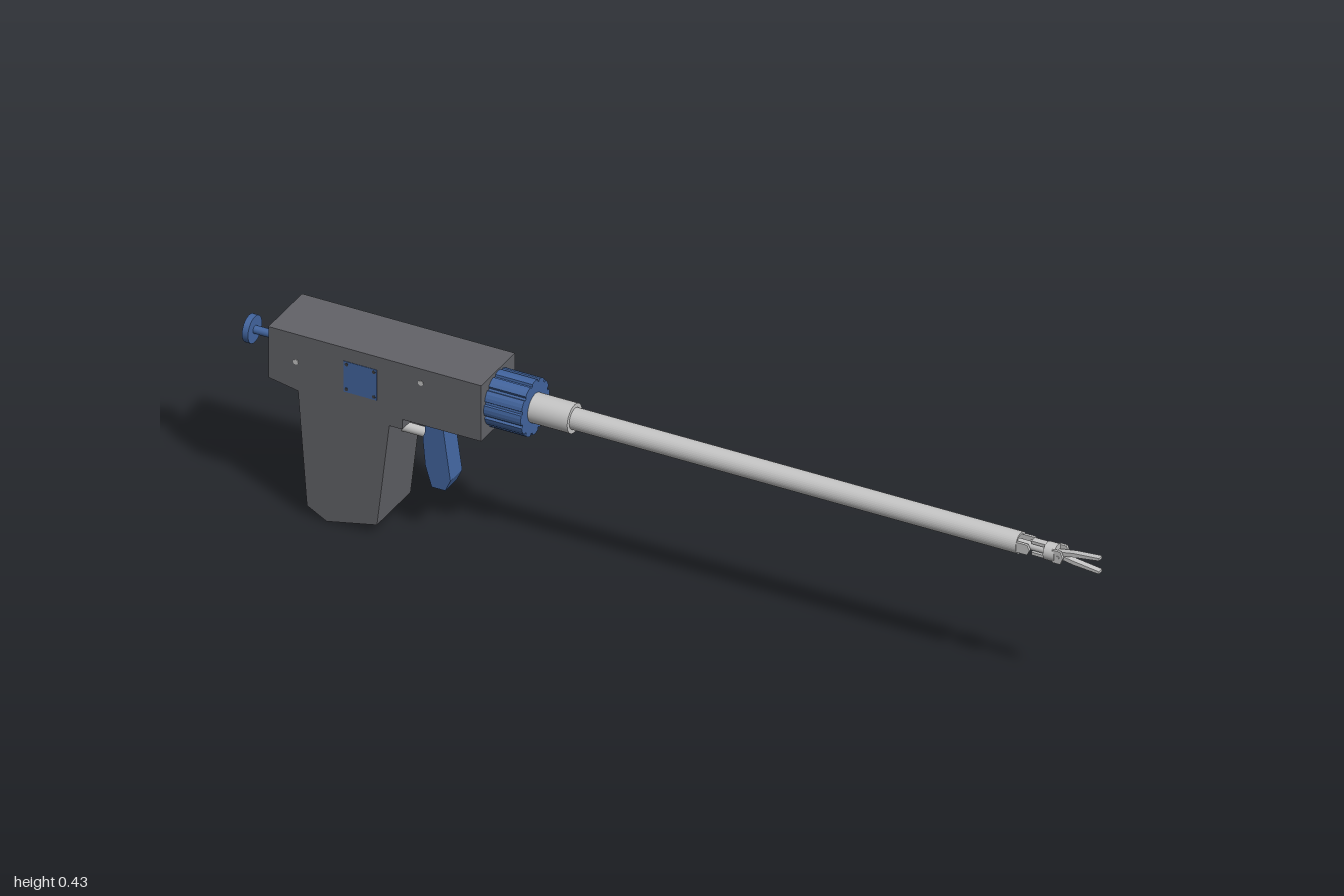
import * as THREE from 'three';

export function createModel() {
  const root = new THREE.Group();
  const mat = (name, color, flatShading = false) => {
    const m = new THREE.MeshStandardMaterial({ color });
    m.name = name;
    m.flatShading = flatShading;
    return m;
  };
  const grey = mat('housing grey', 0x626368);
  const blue = mat('control blue', 0x42659f);
  const steel = mat('light steel', 0xc6c6c6);
  const dark = mat('dark bore', 0x3c3d40);
  const AXIS = 0.367; // height of the instrument axis

  const add = (name, geo, material, parent = root) => {
    const m = new THREE.Mesh(geo, material);
    m.name = name;
    parent.add(m);
    return m;
  };
  const shapeOf = pts => new THREE.Shape(pts.map(p => new THREE.Vector2(...p)));
  // Side profile extruded symmetrically about z
  const slab = (pts, width, z = 0) => new THREE.ExtrudeGeometry(shapeOf(pts), { depth: width, bevelEnabled: false })
    .translate(0, 0, z - width / 2);
  // Cylinder along the instrument axis
  const rod = (x0, x1, r, y = AXIS, r1 = r) => new THREE.CylinderGeometry(r1, r, x1 - x0, 32)
    .rotateZ(-Math.PI / 2).translate((x0 + x1) / 2, y, 0);
  // Cross-section (z, y about the axis) extruded along x
  const along = (shape, x0, x1) => new THREE.ExtrudeGeometry(shape, { depth: x1 - x0, bevelEnabled: false, curveSegments: 20 })
    .rotateY(Math.PI / 2).translate(x0, AXIS, 0);
  const tube = (r, hole) => {
    const s = new THREE.Shape().absarc(0, 0, r, 0, Math.PI * 2);
    s.holes.push(new THREE.Path().absarc(0, 0, hole, 0, Math.PI * 2, true));
    return s;
  };

  // Housing with a round bore open at the rear
  const W = 0.148;
  const section = shapeOf([[-W / 2, -0.056], [W / 2, -0.056], [W / 2, 0.067], [-W / 2, 0.067]]);
  section.holes.push(new THREE.Path().absarc(0, 0, 0.05, 0, Math.PI * 2, true));
  add('housing', along(section, -0.915, -0.415), grey);
  add('boreFloor', rod(-0.72, -0.416, 0.0505), grey);

  // Pistol grip and underside of the housing
  add('grip', slab([[-0.915, 0.311], [-0.845, 0.298], [-0.824, 0.026], [-0.778, 0.001], [-0.66, 0.026],
    [-0.631, 0.275], [-0.6, 0.275], [-0.6, 0.299], [-0.415, 0.299], [-0.415, 0.311]], W), grey);

  // Trigger and its link rod
  add('trigger', slab([[-0.573, 0.31], [-0.573, 0.25], [-0.578, 0.235], [-0.572, 0.17], [-0.557, 0.122],
    [-0.525, 0.122], [-0.513, 0.149], [-0.536, 0.31]], 0.052), blue);
  add('triggerLink', rod(-0.65, -0.565, 0.011, 0.233), steel);

  // Rear plunger
  add('plungerRod', rod(-0.99, -0.72, 0.009), blue);
  add('plungerDisc', rod(-1, -0.986, 0.031), blue);

  // Scalloped rotation knob
  const knob = new THREE.Shape();
  const N = 12;
  for (let i = 0; i < N; i++) {
    const a = (i / N) * Math.PI * 2, step = Math.PI * 2 / N;
    [[-0.36, 0.0625], [-0.12, 0.0635], [0.12, 0.0635], [0.36, 0.0625], [0.42, 0.057], [0.58, 0.057]].forEach(([t, r], k) => {
      const x = r * Math.cos(a + t * step), y = r * Math.sin(a + t * step);
      if (i || k) knob.lineTo(x, y); else knob.moveTo(x, y);
    });
  }
  knob.closePath();
  add('rotationKnob', along(knob, -0.416, -0.328), blue);

  // Collar and hollow shaft
  add('collar', rod(-0.33, -0.235, 0.033), steel);
  add('shaft', along(tube(0.024, 0.019), -0.24, 0.813), steel);
  add('shaftPlug', rod(0.74, 0.79, 0.0192), dark);

  // Clevis ears and wrist joint
  for (const s of [-1, 1]) {
    add('clevisEar', slab([[0.80, AXIS - 0.012], [0.838, AXIS - 0.012], [0.844, AXIS], [0.838, AXIS + 0.012],
      [0.80, AXIS + 0.012]], 0.006, s * 0.0175), steel);
    add('wristEar', slab([[0.842, AXIS + s * 0.010], [0.885, AXIS + s * 0.010], [0.885, AXIS + s * 0.017],
      [0.842, AXIS + s * 0.017]], 0.016), steel);
  }
  add('wristPin', new THREE.CylinderGeometry(0.005, 0.005, 0.04, 16).rotateX(Math.PI / 2).translate(0.832, AXIS, 0), steel);
  add('wristLink', rod(0.79, 0.87, 0.009), steel);
  add('wristBarrel', rod(0.875, 0.9, 0.02), steel);
  for (const s of [-1, 1])
    add('jawEar', slab([[0.895, AXIS - 0.015], [0.914, AXIS - 0.015], [0.92, AXIS], [0.914, AXIS + 0.015],
      [0.895, AXIS + 0.015]], 0.006, s * 0.014), steel);
  add('jawPin', new THREE.CylinderGeometry(0.004, 0.004, 0.038, 16).rotateX(Math.PI / 2).translate(0.908, AXIS, 0), steel);

  // Pair of open gripping jaws
  for (const s of [-1, 1])
    add('jaw', slab([[0.895, AXIS - s * 0.004], [0.935, AXIS + s * 0.004], [1, AXIS + s * 0.013],
      [1, AXIS + s * 0.019], [0.94, AXIS + s * 0.014], [0.895, AXIS + s * 0.006]], 0.014), steel);

  // Side panels and screw heads on both flanks
  for (const s of [-1, 1]) {
    const z = s * W / 2;
    const dot = (name, x, y, r, m) => add(name,
      new THREE.CylinderGeometry(r, r, 0.003, 16).rotateX(Math.PI / 2).translate(x, y, z), m);
    add('sidePanel', new THREE.BoxGeometry(0.078, 0.074, 0.002).translate(-0.699, 0.365, z), blue);
    for (const dx of [-1, 1]) for (const dy of [-1, 1])
      dot('panelScrew', -0.699 + dx * 0.032, 0.365 + dy * 0.03, 0.004, dark);
    dot('housingScrew', -0.557, 0.4, 0.006, steel);
    dot('housingScrew', -0.85, 0.367, 0.006, steel);
  }
  return root;
}
